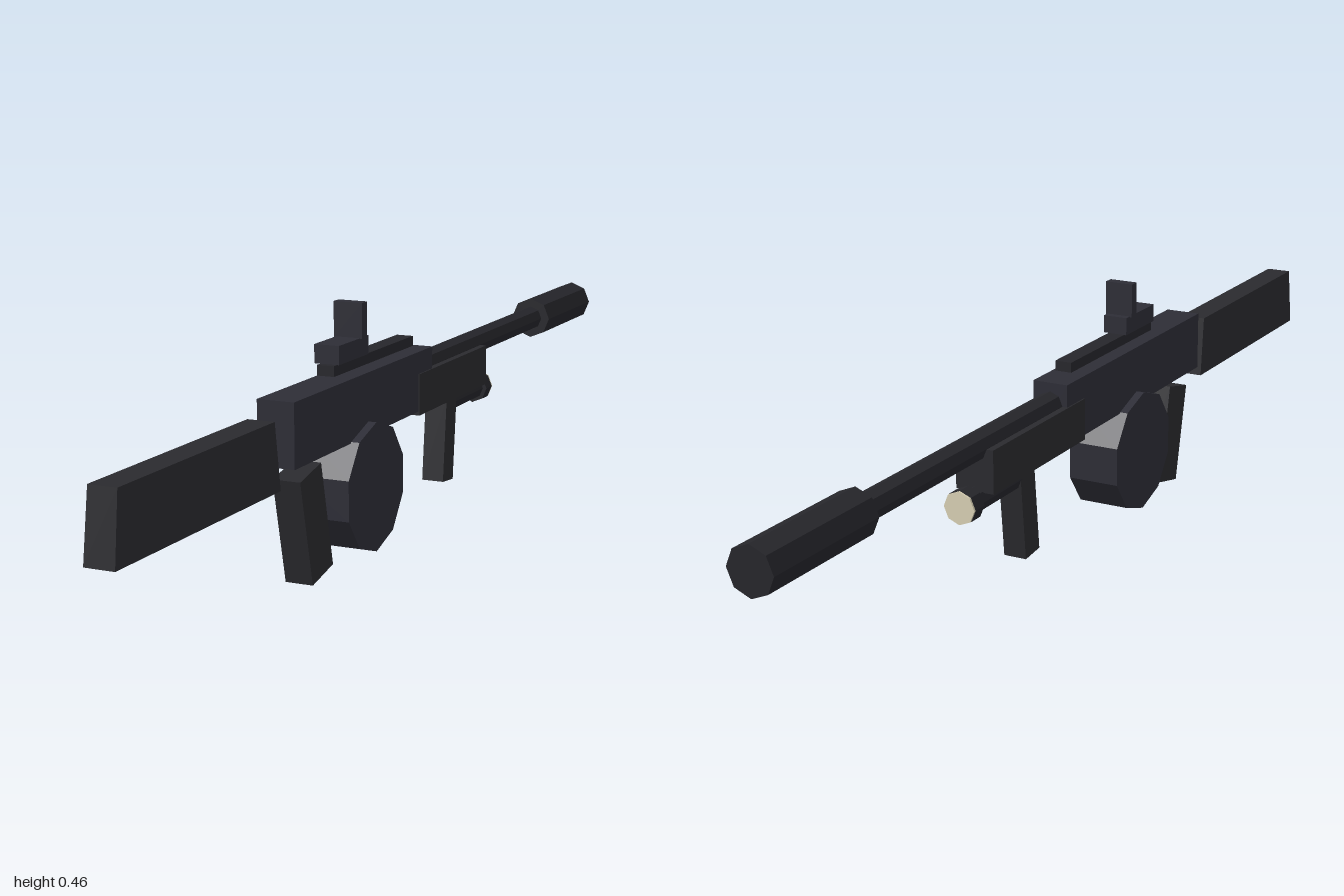
import * as THREE from 'three';

const mat = (name, color, flat = true) => {
  const m = new THREE.MeshStandardMaterial({ color, flatShading: flat });
  m.name = name;
  return m;
};

export function createModel() {
  const group = new THREE.Group();
  const metal = mat('blue grey metal', 0x2d2d36);
  const polymer = mat('dark polymer', 0x2a2a2e);
  const steel = mat('dark steel', 0x26262b);
  const glass = mat('pale lens', 0xd8d0b4);

  const add = (name, geometry, material, y, z, tilt = 0) => {
    const mesh = new THREE.Mesh(geometry, material);
    mesh.name = name;
    mesh.position.set(0, y, z);
    mesh.rotation.x = tilt;
    group.add(mesh);
    return mesh;
  };
  const box = (name, material, w, h, d, y, z, tilt) =>
    add(name, new THREE.BoxGeometry(w, h, d), material, y, z, tilt);
  // Faceted tube lying along z between two ends
  const tube = (name, material, r, z0, z1, y, sides = 8) =>
    add(name, new THREE.CylinderGeometry(r, r, Math.abs(z1 - z0), sides).rotateX(Math.PI / 2),
      material, y, (z0 + z1) / 2);

  // Stock: a block narrowing towards its top
  const stock = new THREE.BoxGeometry(0.054, 0.12, 0.5);
  const p = stock.attributes.position;
  for (let i = 0; i < p.count; i++) {
    if (p.getY(i) > 0) p.setXYZ(i, p.getX(i) * 0.94, p.getY(i), p.getZ(i) * 0.94);
  }
  stock.computeVertexNormals();
  add('stock', stock, polymer, 0.26, 0.75);

  // Body
  box('receiver', metal, 0.07, 0.115, 0.57, 0.286, 0.18);
  box('handguard', polymer, 0.075, 0.08, 0.335, 0.261, -0.2075);
  tube('barrel', steel, 0.025, -0.1, -0.75, 0.302);
  tube('muzzle', steel, 0.043, -0.73, -1, 0.302);

  // Drum magazine, axis across the body
  const drum = new THREE.CylinderGeometry(0.12, 0.12, 0.102, 10);
  drum.rotateX(Math.PI / 2).rotateY(Math.PI / 2);
  add('drumMagazine', drum, metal, 0.134, 0.18);

  // Grips
  box('rearGrip', polymer, 0.053, 0.198, 0.08, 0.11, 0.369, 0.22);
  box('foreGrip', polymer, 0.045, 0.17, 0.05, 0.137, -0.223, -0.1);

  // Rail and sight
  box('topRail', steel, 0.033, 0.019, 0.335, 0.361, 0.1125);
  box('sightBase', metal, 0.048, 0.034, 0.12, 0.389, 0.215);
  box('sightPlate', metal, 0.056, 0.065, 0.02, 0.437, 0.18);

  // Torch below the handguard
  tube('torchBody', steel, 0.023, -0.25, -0.4, 0.207);
  tube('torchHead', steel, 0.031, -0.395, -0.424, 0.207);
  tube('torchLens', glass, 0.0305, -0.424, -0.428, 0.207);

  return group;
}
